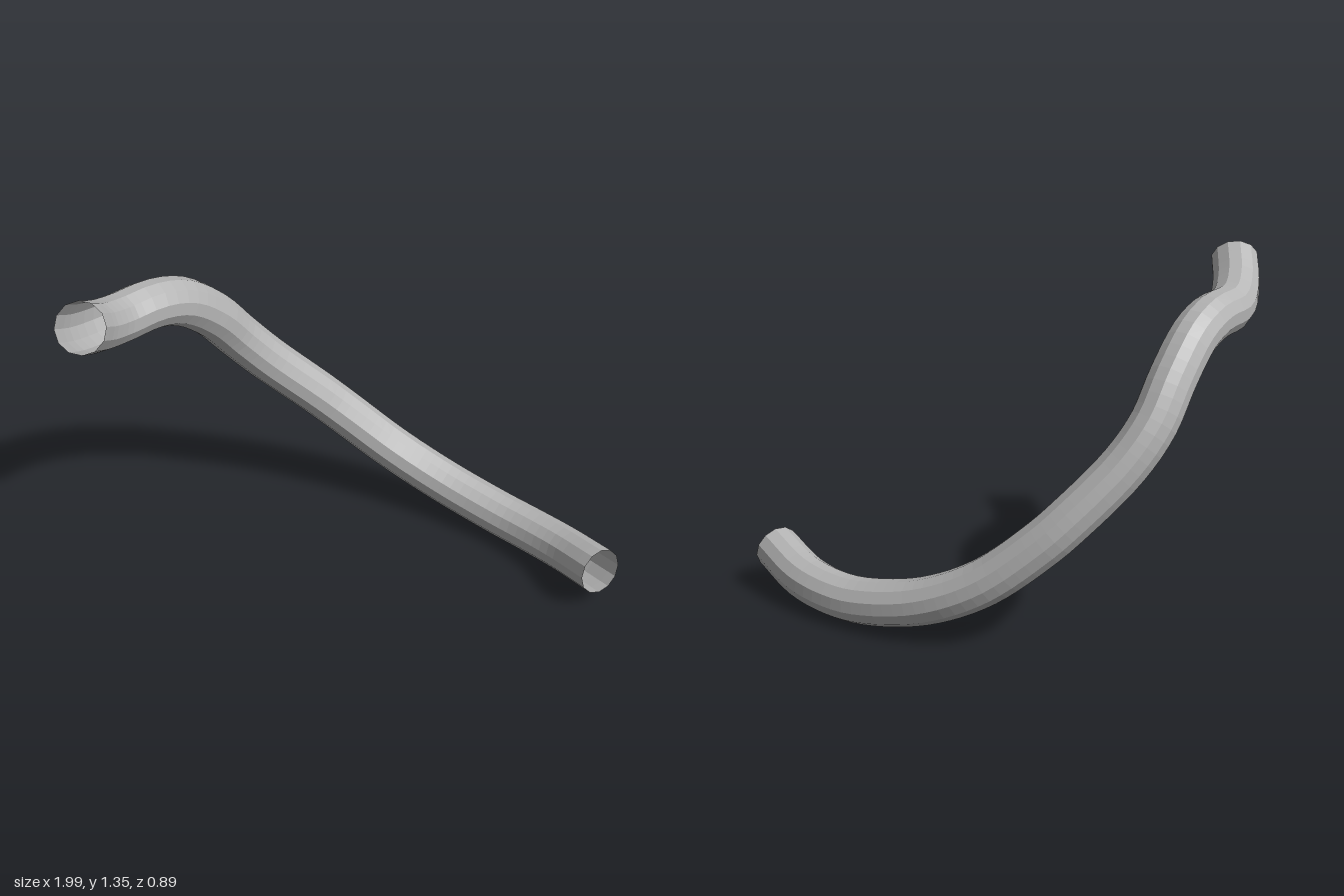
import * as THREE from 'three';

export function createModel() {
  const model = new THREE.Group();
  model.name = 'bentHose';

  const grey = new THREE.MeshStandardMaterial({ color: 0xb4b4b4, side: THREE.DoubleSide, flatShading: true });
  grey.name = 'grey';

  // Centre line, from the upper open end to the lower open end
  const path = new THREE.CatmullRomCurve3([
    [-0.91, 1.28, 0.25],
    [-0.875, 1.205, 0.13],
    [-0.81, 1.155, 0.01],
    [-0.70, 1.145, -0.085],
    [-0.605, 1.10, -0.165],
    [-0.50, 0.98, -0.255],
    [-0.41, 0.835, -0.322],
    [-0.30, 0.70, -0.35],
    [-0.10, 0.51, -0.355],
    [0.0, 0.42, -0.342],
    [0.20, 0.26, -0.283],
    [0.40, 0.155, -0.178],
    [0.60, 0.10, -0.03],
    [0.70, 0.094, 0.065],
    [0.81, 0.11, 0.205],
    [0.91, 0.16, 0.40],
  ].map(p => new THREE.Vector3(...p)));

  // Open faceted tube
  const hose = new THREE.Mesh(new THREE.TubeGeometry(path, 64, 0.09, 12, false), grey);
  hose.name = 'hose';
  model.add(hose);

  return model;
}
